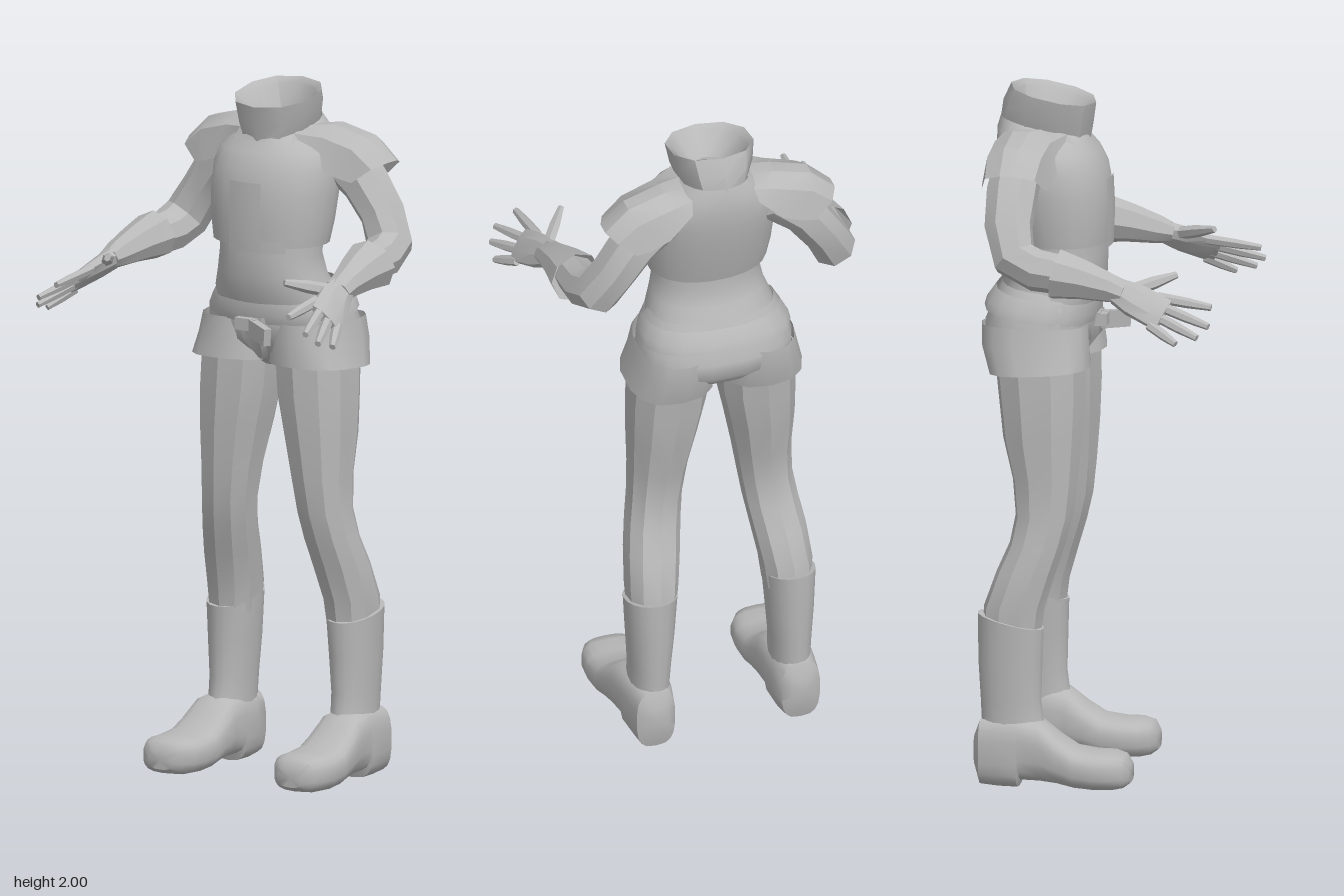
import * as THREE from 'three';
import { toCreasedNormals, mergeVertices } from 'three/addons/utils/BufferGeometryUtils.js';

const V = (x, y, z) => new THREE.Vector3(x, y, z);
const grey = new THREE.MeshStandardMaterial({ color: 0xb8b8b8, side: THREE.DoubleSide });
grey.name = 'plain grey';

// Superellipse ring around c, spanned by half axes u and v
function ring(c, u, v, n = 16, power = 2) {
  const f = t => Math.sign(t) * Math.pow(Math.abs(t), 2 / power);
  return Array.from({ length: n }, (_, i) => {
    const a = (i + 0.5) / n * Math.PI * 2;
    return c.clone().addScaledVector(u, f(Math.cos(a))).addScaledVector(v, f(Math.sin(a)));
  });
}
// Horizontal ring from extents; tilt raises the back edge above the front edge
function level([y, x0, x1, z0, z1, tilt = 0], n, power) {
  return ring(V((x0 + x1) / 2, y, (z0 + z1) / 2), V((x1 - x0) / 2, 0, 0), V(0, -tilt / 2, (z1 - z0) / 2), n, power);
}
// Skin between rows of points, with optional closed rows and end caps
function loft(rings, { closed = true, cap0 = false, cap1 = false, crease = 0.7 } = {}) {
  const n = rings[0].length, pos = [], idx = [];
  rings.forEach(r => r.forEach(p => pos.push(p.x, p.y, p.z)));
  for (let k = 0; k + 1 < rings.length; k++)
    for (let i = 0; i < (closed ? n : n - 1); i++) {
      const a = k * n + i, b = k * n + (i + 1) % n;
      idx.push(a, b, a + n, b, b + n, a + n);
    }
  const cap = (k, flip) => {
    const c = rings[k].reduce((s, p) => s.add(p), V(0, 0, 0)).divideScalar(n), ci = pos.length / 3;
    pos.push(c.x, c.y, c.z);
    for (let i = 0; i < n; i++) {
      const a = k * n + i, b = k * n + (i + 1) % n;
      if (flip) idx.push(b, a, ci); else idx.push(a, b, ci);
    }
  };
  if (cap0) cap(0, true);
  if (cap1) cap(rings.length - 1, false);
  // Turn faces outward using the signed volume about the centre
  const P = i => V(pos[3 * i], pos[3 * i + 1], pos[3 * i + 2]);
  const mid = V(0, 0, 0);
  rings.flat().forEach(p => mid.add(p));
  mid.divideScalar(n * rings.length);
  let vol = 0;
  for (let i = 0; i < idx.length; i += 3) {
    const [a, b, c] = [0, 1, 2].map(j => P(idx[i + j]).sub(mid));
    vol += a.dot(b.cross(c));
  }
  if (vol < 0) idx.reverse();
  const g = new THREE.BufferGeometry();
  g.setAttribute('position', new THREE.Float32BufferAttribute(pos, 3));
  g.setIndex(idx);
  return toCreasedNormals(mergeVertices(g), crease);
}

export function createModel() {
  const model = new THREE.Group();
  const add = (name, geo) => {
    const m = new THREE.Mesh(geo, grey);
    m.name = name;
    model.add(m);
    return m;
  };
  const stack = (name, rows, n = 20, power = 2.2, opt = {}) =>
    add(name, loft(rows.map(r => level(r, n, power)), opt));

  // Jacket with flared open collar
  stack('jacket', [
    [1.555, -.175, .175, -.265, .0], [1.62, -.185, .185, -.285, .005], [1.70, -.19, .19, -.305, .003],
    [1.77, -.19, .19, -.32, -.01], [1.82, -.175, .175, -.325, -.035], [1.86, -.135, .135, -.325, -.055, .03],
    [1.885, -.1, .1, -.315, -.062, .05]], 24, 2.2, { crease: 1.2 });
  stack('collar', [
    [1.865, -.095, .095, -.318, -.06, .06], [1.92, -.115, .115, -.31, -.05, .06], [1.975, -.125, .125, -.287, -.042, .05]], 10, 2.2);
  stack('collarLining', [
    [1.975, -.125, .125, -.287, -.042, .05], [1.96, -.105, .105, -.275, -.06, .05], [1.88, -.06, .06, -.255, -.11]], 10, 2.2);

  // Front panel and hem tab, thin plates following the chest
  const plate = (name, x0, x1, y0, y1) => {
    const z = (x, y) => .009 - 0.08 * Math.pow(Math.abs(x) / .18, 2.2) - (y > 1.65 ? (y - 1.65) * .06 : (1.65 - y) * .04);
    const rows = [0, .5, 1].map(t => [0, .25, .5, .75, 1].map(s => {
      const x = x0 + (x1 - x0) * s, y = y0 + (y1 - y0) * t;
      return V(x, y, z(x, y));
    }));
    add(name, loft(rows, { closed: false }));
  };
  plate('frontPanel', -.055, .053, 1.54, 1.74);
  plate('hemTab', .053, .12, 1.54, 1.575);

  // Waist, hips and belt
  stack('waist', [
    [1.60, -.158, .158, -.258, -.012], [1.52, -.153, .153, -.25, -.01], [1.46, -.165, .165, -.265, -.012],
    [1.41, -.185, .185, -.295, -.022], [1.36, -.19, .19, -.31, -.04]], 24, 2.2, { crease: 1.2, cap0: true });
  stack('hips', [
    [1.425, -.18, .18, -.305, -.05, .03], [1.38, -.208, .208, -.33, -.045], [1.32, -.225, .225, -.355, -.045],
    [1.27, -.225, .225, -.352, -.05], [1.225, -.16, .16, -.31, -.09], [1.19, -.05, .05, -.24, -.13]], 20, 2.5, { crease: .9, cap1: true });
  stack('belt', [
    [1.405, -.197, .197, -.325, -.03, .04], [1.37, -.218, .218, -.35, -.03, .04], [1.345, -.223, .223, -.357, -.038, .04]], 16, 2.4);

  // Front flap with the slanted buckle
  add('frontFlap', loft([[1.345, .075, -.025], [1.28, .06, -.03], [1.215, .012, -.08]].map(([y, w, z]) =>
    [V(-w, y, z - .06), V(-w * .5, y, z), V(w * .5, y, z), V(w, y, z - .06)]), { closed: false }));
  const buckle = add('buckle', new THREE.BoxGeometry(.115, .05, .022));
  buckle.position.set(.05, 1.312, .005);
  buckle.rotation.set(0, -.5, -.12);
  const knot = add('buckleKnot', new THREE.BoxGeometry(.07, .035, .05));
  knot.position.set(-.005, 1.325, -.03);

  for (const s of [1, -1]) {
    const side = s > 0 ? 'left' : 'right';
    const M = (x, y, z) => V(s * x, y, z);
    const column = (name, rows, n, power, opt) =>
      add(side + name, loft(rows.map(r => level([r[0], s * r[1], s * r[2], ...r.slice(3)], n, power)), opt));

    // Shorts leg and trouser leg
    column('ShortsLeg', [
      [1.33, .02, .226, -.35, -.045], [1.27, .012, .24, -.35, -.04], [1.2, .008, .26, -.325, -.035, -.02]], 14, 2.6, { crease: .8 });
    column('TrouserLeg', [
      [1.25, .012, .24, -.315, -.05], [1.12, .022, .246, -.3, -.05], [1.0, .048, .245, -.285, -.057],
      [.88, .072, .24, -.255, -.068], [.78, .088, .243, -.245, -.08], [.7, .098, .255, -.26, -.1],
      [.62, .11, .268, -.295, -.125], [.52, .126, .276, -.33, -.155], [.44, .135, .272, -.335, -.165]], 10, 2.3, { crease: .45 });

    // Boot shaft
    column('BootShaft', [
      [.48, .132, .283, -.347, -.157, .045], [.36, .142, .277, -.345, -.16], [.25, .152, .27, -.338, -.163],
      [.19, .155, .268, -.335, -.155], [.12, .155, .272, -.335, -.14]], 18, 2.1, { cap0: true, crease: 1.1 });

    // Boot foot: z, inner x, outer x, bottom y, top y
    const foot = [
      [-.352, .185, .25, .06, .15], [-.335, .16, .275, .005, .195], [-.28, .148, .282, 0, .205], [-.225, .145, .288, 0, .205],
      [-.218, .145, .288, .022, .203], [-.16, .14, .297, .022, .195], [-.11, .138, .303, .018, .155], [-.06, .134, .31, .008, .122],
      [0, .132, .315, .004, .113], [.05, .137, .312, .006, .113], [.082, .158, .296, .012, .105], [.1, .185, .265, .025, .08]];
    add(side + 'BootFoot', loft(foot.map(([z, x0, x1, y0, y1]) =>
      ring(M((x0 + x1) / 2, (y0 + y1) / 2, z), V(s * (x1 - x0) / 2, 0, 0), V(0, (y1 - y0) / 2, 0), 18, 3)), { cap0: true, cap1: true, crease: .8 }));

    // Pointed shoulder pad: x and y of the ridge, then of the lower edge, front and back z
    const pad = [
      [.09, 1.885, .1, 1.84, -.08, -.315], [.165, 1.893, .17, 1.775, -.12, -.325],
      [.275, 1.865, .23, 1.755, -.13, -.33], [.345, 1.80, .27, 1.745, -.14, -.325]];
    add(side + 'ShoulderPad', loft(pad.map(([x, y, ex, ey, zf, zb]) => {
      const zm = (zf + zb) / 2, d = (zf - zb) / 2, mx = x * .7 + ex * .3, my = y * .75 + ey * .25;
      return [M(ex, ey, zf), M(mx, my, zm + d * .75), M(x, y, zm + d * .15), M(x, y, zm - d * .3), M(mx, my, zm - d * .8), M(ex, ey, zb)];
    }), { closed: false, crease: .45 }));

    // Limb lofted along points: x, y, z, half width, half height, with a width axis
    const limb = (name, pts, wide, n, opt) => {
      const cs = pts.map(p => M(p[0], p[1], p[2]));
      add(side + name, loft(pts.map((p, i) => {
        const dir = cs[Math.min(i + 1, cs.length - 1)].clone().sub(cs[Math.max(i - 1, 0)]).normalize();
        const w = M(...wide).addScaledVector(dir, -dir.dot(M(...wide))).normalize();
        const h = dir.clone().cross(w);
        return ring(cs[i], w.multiplyScalar(p[3]), h.multiplyScalar(p[4]), n, 2.2);
      }), { cap0: true, cap1: true, crease: .45, ...opt }));
    };
    limb('Arm', [
      [.17, 1.80, -.235, .075, .07], [.25, 1.73, -.24, .066, .075], [.31, 1.645, -.24, .062, .07],
      [.352, 1.565, -.215, .066, .066], [.365, 1.535, -.15, .064, .06], [.372, 1.525, -.06, .058, .055]], [1, .5, 0], 8);
    limb('Gauntlet', [
      [.375, 1.53, -.09, .077, .07], [.383, 1.517, -.01, .06, .055], [.393, 1.498, .07, .043, .04],
      [.397, 1.488, .11, .04, .028]], [1, -.45, 0], 8, { cap0: false });

    // Palm, fingers and thumb
    limb('Palm', [
      [.395, 1.49, .09, .04, .03], [.408, 1.47, .14, .052, .026], [.428, 1.444, .205, .054, .019], [.434, 1.435, .232, .05, .014]], [.65, -.75, -.1], 8);
    const fingers = [
      ['IndexFinger', [.392, 1.474, .22], [.402, 1.455, .362]],
      ['MiddleFinger', [.418, 1.452, .228], [.462, 1.412, .364]],
      ['RingFinger', [.44, 1.427, .22], [.485, 1.383, .335]],
      ['LittleFinger', [.458, 1.405, .2], [.494, 1.365, .275]],
      ['Thumb', [.385, 1.492, .13], [.306, 1.525, .245]]];
    for (const [name, a, b] of fingers) {
      const k = name === 'Thumb' ? 1.25 : 1;
      const at = t => a.map((v, i) => v + (b[i] - v) * t);
      limb(name, [[...at(-.1), .016 * k, .014 * k], [...at(.5), .015 * k, .013 * k], [...at(1), .01, .009]], [.65, -.75, 0], 6);
    }
  }
  return model;
}
